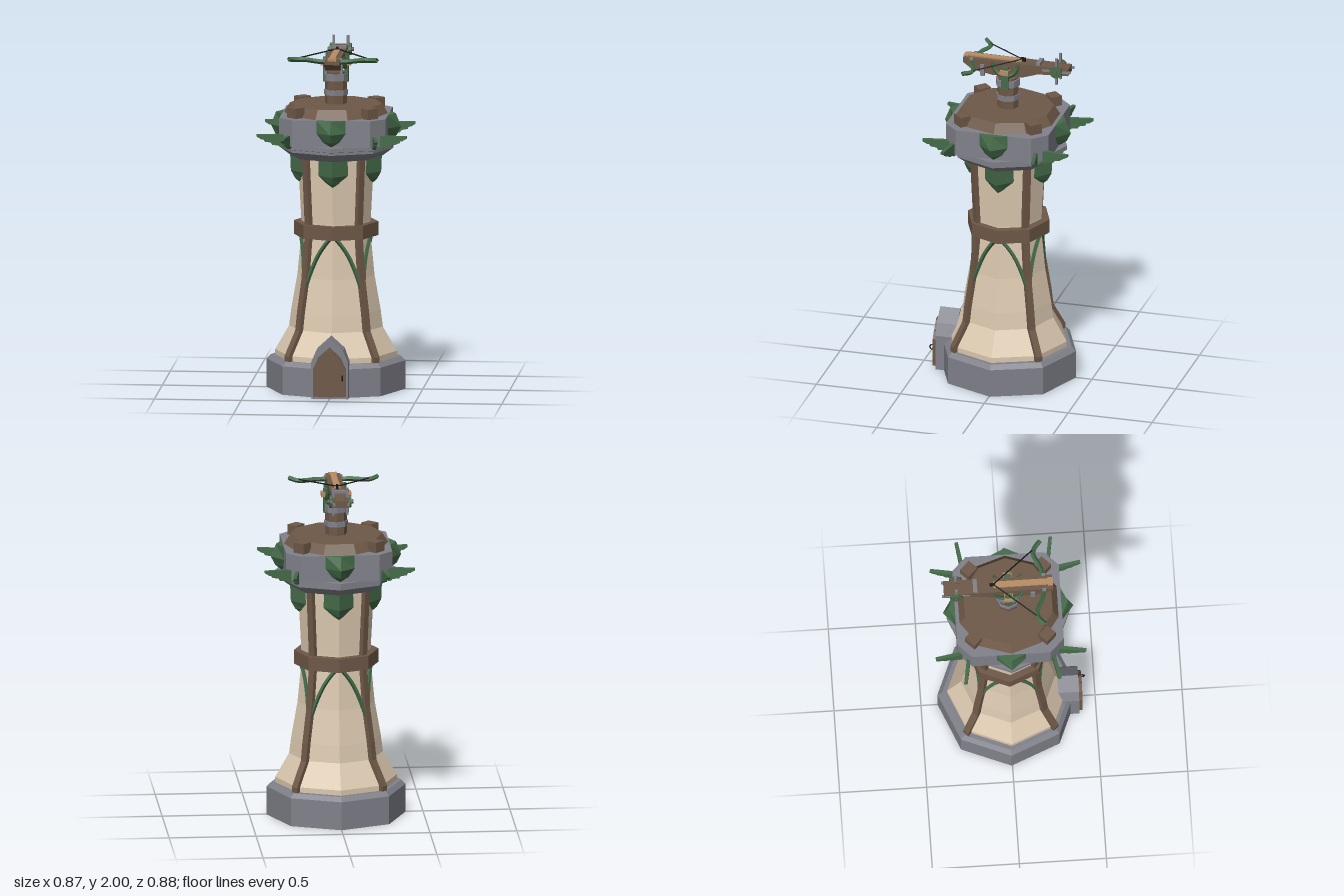
import * as THREE from 'three';

const mat = (name, color) => Object.assign(
  new THREE.MeshStandardMaterial({ color, flatShading: true, side: THREE.DoubleSide }), { name });
const M = {
  plaster: mat('plaster', 0xdcc9b0), wood: mat('wood', 0x6e5847), stone: mat('stone', 0x80818a),
  leaf: mat('leaf green', 0x456b49), tan: mat('light wood', 0xb88c64), black: mat('black', 0x151515),
};

export function createModel() {
  const model = new THREE.Group();
  model.name = 'ballistaTower';

  const add = (name, geo, m, x = 0, y = 0, z = 0, parent = model) => {
    const mesh = new THREE.Mesh(geo, M[m]);
    mesh.name = name;
    mesh.position.set(x, y, z);
    parent.add(mesh);
    return mesh;
  };
  const box = (name, m, w, h, d, x, y, z, parent) =>
    add(name, new THREE.BoxGeometry(w, h, d), m, x, y, z, parent);
  const lathe = (pts, n = 8) => new THREE.LatheGeometry(pts.map(p => new THREE.Vector2(...p)), n);
  const extrude = (pts, depth, hole) => {
    const s = new THREE.Shape(pts.map(p => new THREE.Vector2(...p)));
    if (hole) s.holes.push(new THREE.Path(hole.map(p => new THREE.Vector2(...p))));
    return new THREE.ExtrudeGeometry(s, { depth, bevelEnabled: false }).translate(0, 0, -depth / 2);
  };
  const tube = (pts, r, seg = 14, sides = 4) => new THREE.TubeGeometry(
    new THREE.CatmullRomCurve3(pts.map(p => new THREE.Vector3(...p))), seg, r, sides);

  // Tower body, corner [radius, height]
  const profile = [[0.35, 0.19], [0.35, 0.22], [0.27, 0.36], [0.257, 0.46], [0.222, 0.66],
    [0.2, 0.89], [0.2, 0.98], [0.22, 1.36]];
  const radiusAt = y => {
    for (let i = 1; i < profile.length; i++) {
      const [r0, y0] = profile[i - 1], [r1, y1] = profile[i];
      if (y <= y1) return r0 + (r1 - r0) * (y - y0) / (y1 - y0);
    }
    return 0.22;
  };
  add('towerWall', lathe([[0.36, 0.0], ...profile]), 'plaster');
  add('stoneBase', lathe([[0.365, 0], [0.4, 0], [0.4, 0.165], [0.375, 0.19], [0.33, 0.19]]), 'stone', 0, 0, -0.005);
  add('lowerFloor', new THREE.CylinderGeometry(0.34, 0.34, 0.015, 8), 'wood', 0, 0.19, 0);
  add('beltBand', lathe([[0.19, 0.89], [0.243, 0.89], [0.243, 0.97], [0.19, 0.97]]), 'wood', 0, 0, -0.005);

  // Platform: flared corbel, slab and chamfered parapet
  add('corbel', lathe([[0.215, 1.345], [0.27, 1.355], [0.33, 1.4], [0.33, 1.415],
    [0.352, 1.42], [0.352, 1.445], [0.2, 1.445]]), 'stone');
  const a = 0.306, c = 0.225;
  const parapet = add('parapet', extrude([[a, -c], [a, c], [c, a], [-c, a], [-a, c], [-a, -c], [-c, -a], [c, -a]], 0.155),
    'stone', 0, 1.5225, 0);
  parapet.rotation.x = -Math.PI / 2;
  add('roofDeck', new THREE.CylinderGeometry(0.265, 0.3, 0.055, 10, 1, false, Math.PI / 10), 'wood', 0, 1.627, 0);

  // Folded leaf from levels [y, halfWidth, edgeZ, ridgeZ]
  const foldedLeaf = levels => {
    const pos = [], idx = [];
    levels.forEach(([y, w, e, r], i) => {
      pos.push(-w, y, e, 0, y, r, w, y, e);
      if (i) for (let k = 0; k < 2; k++) {
        const p = (i - 1) * 3 + k, q = p + 3;
        idx.push(p, q, q + 1, p, q + 1, p + 1);
      }
    });
    const g = new THREE.BufferGeometry();
    g.setAttribute('position', new THREE.Float32BufferAttribute(pos, 3));
    g.setIndex(idx);
    g.computeVertexNormals();
    return g;
  };
  const upperLeaf = foldedLeaf([[1.6, 0.085, 0.305, 0.305], [1.6, 0.085, 0.305, 0.345],
    [1.525, 0.085, 0.305, 0.375], [1.475, 0.05, 0.305, 0.35], [1.445, 0, 0.31, 0.31]]);
  const lowerLeaf = foldedLeaf([[1.375, 0.09, 0.18, 0.18], [1.375, 0.09, 0.18, 0.265],
    [1.26, 0.085, 0.18, 0.26], [1.215, 0.05, 0.18, 0.235], [1.185, 0, 0.2, 0.2]]);

  // Corner beam follows the wall profile
  const beamGeo = extrude([...profile.map(([r, y]) => [r + 0.018, y]),
    ...profile.slice().reverse().map(([r, y]) => [r - 0.02, y])], 0.04);
  // Feathered wing plate
  const wingGeo = extrude([[0, 1.45], [0, 1.5], [0.09, 1.51], [0.21, 1.51], [0.21, 1.497], [0.185, 1.482],
    [0.17, 1.48], [0.165, 1.468], [0.13, 1.462], [0.12, 1.448], [0.085, 1.445], [0.07, 1.432], [0.03, 1.435]], 0.02);

  for (let k = 0; k < 4; k++) {
    const side = new THREE.Group();
    side.name = 'towerSide';
    side.rotation.y = k * Math.PI / 2;
    model.add(side);
    add('upperLeaf', upperLeaf, 'leaf', 0, 0, 0, side);
    add('lowerLeaf', lowerLeaf, 'leaf', 0, 0, 0, side);
    add('cornerBeam', beamGeo, 'wood', 0, 0, 0, side).rotation.y = -Math.PI / 4;
    const block = box('roofBlock', 'wood', 0.075, 0.065, 0.065, 0.212, 1.627, 0.212, side);
    block.rotation.y = Math.PI / 4;
    add('wing', wingGeo, 'leaf', 0.225, 0, 0.235, side).rotation.y = -0.17;
    add('wing', wingGeo, 'leaf', 0.235, 0, 0.225, side).rotation.y = -Math.PI / 2 + 0.17;
    // Curved vine braces under the belt
    for (const s of [-1, 1]) {
      const pts = [[0.06, 0.61], [0.2, 0.7], [0.42, 0.79], [0.65, 0.85], [0.88, 0.895]].map(([t, y]) => {
        const r = radiusAt(y) + 0.008, h = r * Math.SQRT1_2;
        return [s * h * (1 - t), y, h + (r - h) * t];
      });
      add('vineBrace', tube(pts, 0.012), 'leaf', 0, 0, 0, side);
    }
  }

  // Doorway
  const arch = (w, shoulder, top, y0 = 0) => [[-w, y0], [w, y0], [w, shoulder],
    [w * 0.72, shoulder + (top - shoulder) * 0.5], [0, top],
    [-w * 0.72, shoulder + (top - shoulder) * 0.5], [-w, shoulder]];
  add('doorFrame', extrude(arch(0.107, 0.21, 0.35), 0.12, arch(0.088, 0.18, 0.3, 0.005)), 'stone', 0, 0, 0.343);
  add('doorBacking', extrude(arch(0.09, 0.18, 0.3, 0.01), 0.012), 'wood', 0, 0, 0.402);
  [[-0.092, -0.068, 0.18, 0.22], [-0.063, -0.022, 0.225, 0.275], [-0.017, 0.018, 0.28, 0.28],
    [0.023, 0.062, 0.275, 0.225], [0.067, 0.092, 0.22, 0.18]].forEach(([l, r, tl, tr]) =>
    add('doorPlank', extrude([[l, 0.015], [r, 0.015], [r, tr], [l, tl]], 0.02), 'wood', 0, 0, 0.413));
  add('doorHandle', new THREE.TorusGeometry(0.014, 0.004, 4, 10), 'black', 0.076, 0.125, 0.43).rotation.y = Math.PI / 2;

  // Turret post with iron rings
  add('turretPost', new THREE.CylinderGeometry(0.062, 0.062, 0.2, 8), 'wood', 0, 1.74, 0);
  add('postRing', new THREE.CylinderGeometry(0.069, 0.069, 0.03, 8), 'stone', 0, 1.72, 0);
  add('postRing', new THREE.CylinderGeometry(0.072, 0.072, 0.04, 8), 'stone', 0, 1.81, 0);

  // Ballista
  const bow = new THREE.Group();
  bow.name = 'ballista';
  model.add(bow);
  const stock = add('stock', extrude([[0.255, 1.945], [0.255, 1.915], [0.2, 1.875], [0.08, 1.855], [-0.1, 1.86],
    [-0.19, 1.89], [-0.37, 1.9], [-0.37, 1.94]], 0.088), 'wood', 0, 0, 0, bow);
  stock.rotation.y = -Math.PI / 2;
  box('boltTrack', 'tan', 0.036, 0.014, 0.32, 0, 1.947, 0.075, bow);
  box('trackTip', 'tan', 0.05, 0.016, 0.03, 0, 1.944, 0.243, bow);
  box('stockClamp', 'stone', 0.08, 0.07, 0.024, 0, 1.923, -0.19, bow);
  box('trigger', 'black', 0.012, 0.03, 0.03, 0, 1.95, -0.09, bow);
  box('pivot', 'tan', 0.172, 0.028, 0.05, 0, 1.89, 0.0, bow);

  for (const s of [-1, 1]) {
    // Cradle
    const cradle = add('cradleArc', new THREE.TorusGeometry(0.075, 0.012, 4, 10, Math.PI), 'leaf', s * 0.055, 1.935, 0, bow);
    cradle.rotation.set(Math.PI, Math.PI / 2, 0);
    box('cradleArm', 'leaf', 0.02, 0.14, 0.04, s * 0.062, 1.85, 0, bow);
    box('frontClamp', 'stone', 0.014, 0.07, 0.026, s * 0.045, 1.88, 0.14, bow);
    box('bolt', 'stone', 0.016, 0.016, 0.02, s * 0.045, 1.94, 0.205, bow);
    // Bow arm and string
    add('bowArm', tube([[0, 1.925, 0.195], [s * 0.06, 1.925, 0.2], [s * 0.11, 1.928, 0.187], [s * 0.17, 1.93, 0.157],
      [s * 0.21, 1.93, 0.163], [s * 0.255, 1.937, 0.2]], 0.014, 20), 'leaf', 0, 0, 0, bow);
    add('bowString', tube([[0, 1.955, -0.085], [s * 0.1, 1.947, 0.033], [s * 0.2, 1.938, 0.152]], 0.004, 2), 'black', 0, 0, 0, bow);
    // Winch
    const wheel = add('winchWheel', new THREE.CylinderGeometry(0.036, 0.036, 0.016, 10), 'leaf', s * 0.054, 1.92, -0.3, bow);
    wheel.rotation.z = Math.PI / 2;
    box('winchBlock', 'wood', 0.03, 0.05, 0.06, s * 0.04, 1.92, -0.3, bow);
    box('winchSpoke', 'stone', 0.014, 0.16, 0.014, s * 0.041, 1.92, -0.3, bow);
    box('winchSpoke', 'stone', 0.014, 0.014, 0.165, s * 0.041, 1.92, -0.3, bow);
  }
  const axle = add('winchAxle', new THREE.CylinderGeometry(0.012, 0.012, 0.15, 8), 'wood', 0, 1.92, -0.3, bow);
  axle.rotation.z = Math.PI / 2;

  return model;
}
